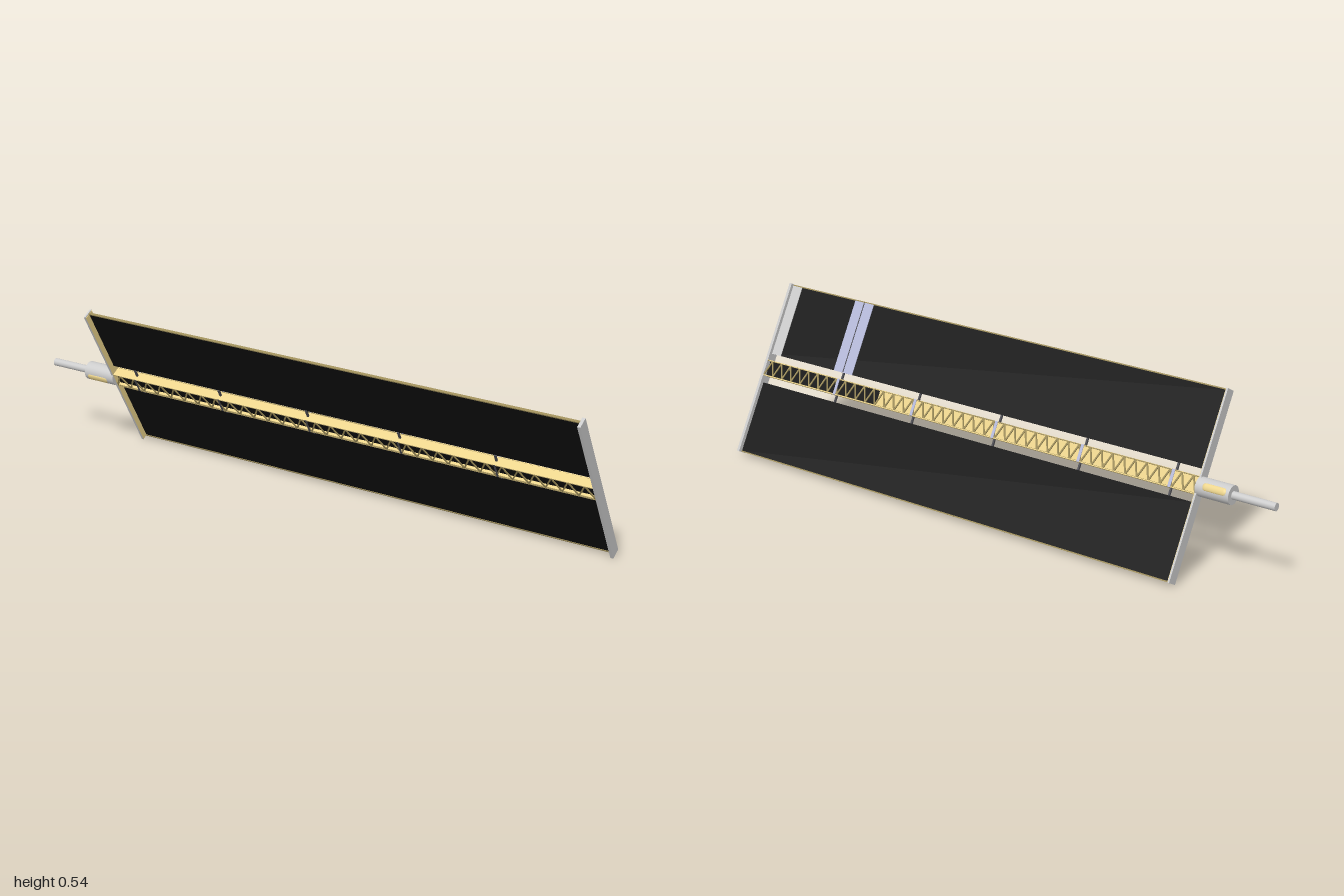
import * as THREE from 'three';
import { mergeGeometries } from 'three/addons/utils/BufferGeometryUtils.js';

const mat = (color) => new THREE.MeshStandardMaterial({ color });
const grey = mat(0xcccccc);
const black = mat(0x0e0e0e);
const gold = mat(0xecd48c);
const olive = mat(0x9c8c58);
const lilac = mat(0xb4b8d8);
const dark = mat(0x4a4a50);

const X0 = -0.74, X1 = 0.99; // ends of the array
const LEN = X1 - X0, MID = (X0 + X1) / 2;
const TILT = Math.atan2(0.287, 0.522);
const MAST_H = 0.055, MAST_D = 0.035;

export function createModel() {
  const model = new THREE.Group();
  model.name = 'solarArray';
  const wing = new THREE.Group();
  wing.name = 'tiltedWing';
  wing.position.y = 0.27;
  wing.rotation.x = TILT;
  model.add(wing);

  const add = (name, geometry, material, x = 0, y = 0, z = 0) => {
    const mesh = new THREE.Mesh(geometry, material);
    mesh.name = name;
    mesh.position.set(x, y, z);
    wing.add(mesh);
    return mesh;
  };
  const box = (name, w, h, d, material, x, y, z) =>
    add(name, new THREE.BoxGeometry(w, h, d), material, x, y, z);

  // Two cell blankets with thin gold outer edges
  for (const s of [1, -1]) {
    box('cellBlanket', LEN, 0.242, 0.004, black, MID, s * 0.172, -0.003);
    box('blanketEdge', LEN, 0.004, 0.008, olive, MID, s * 0.295, -0.003);
  }

  // Pale strips on the back of the upper blanket
  box('lilacStrip', 0.08, 0.243, 0.002, lilac, 0.67, 0.172, -0.0062);
  box('stripSeam', 0.003, 0.243, 0.001, dark, 0.67, 0.172, -0.0075);
  box('endStrip', 0.04, 0.243, 0.002, grey, 0.97, 0.172, -0.0062);

  // End plates; the inboard one has a gold inner face
  box('inboardEndPlate', 0.006, 0.596, 0.037, grey, X0 - 0.003, 0, 0);
  box('inboardPlateLining', 0.002, 0.59, 0.034, gold, X0 + 0.001, 0, 0);
  box('outboardEndPlate', 0.01, 0.596, 0.037, grey, 0.995, 0, 0);

  // Mast: solid upper and lower faces around a core
  for (const s of [1, -1])
    box('mastPlate', LEN, 0.003, MAST_D, gold, MID, s * (MAST_H / 2 - 0.0015), 0);
  box('mastCoreFront', LEN, MAST_H - 0.006, 0.002, black, MID, 0, 0.002);
  box('mastCoreBack', 1.24, MAST_H - 0.006, 0.002, gold, X0 + 0.62, 0, -0.002);
  box('mastCoreBackEnd', LEN - 1.24, MAST_H - 0.006, 0.002, black, X1 - (LEN - 1.24) / 2, 0, -0.002);

  // Zigzag lattice on the open faces of the mast
  const lattice = (bays) => {
    const half = LEN / bays / 2, h = MAST_H - 0.005;
    const bars = [];
    for (let i = 0; i < bays * 2; i++) {
      const bar = new THREE.BoxGeometry(0.005, Math.hypot(half, h), 0.003);
      bar.rotateZ((i % 2 ? 1 : -1) * Math.atan2(half, h));
      bar.translate(X0 + (i + 0.5) * half, 0, 0);
      bars.push(bar);
    }
    return mergeGeometries(bars);
  };
  add('frontLattice', lattice(32), olive, 0, 0, MAST_D / 2 - 0.002);
  add('backLattice', lattice(42), olive, 0, 0, -MAST_D / 2 + 0.002);
  for (const sy of [1, -1])
    for (const sz of [1, -1])
      box('mastRail', LEN, 0.004, 0.004, olive, MID, sy * (MAST_H / 2 - 0.002), sz * (MAST_D / 2 - 0.002));

  // Spreaders crossing the gaps between mast and blankets
  for (let i = 0; i < 5; i++) {
    const x = -0.65 + i * 0.33;
    for (const s of [1, -1]) box('spreader', 0.006, 0.026, 0.006, dark, x, s * 0.04, 0);
    box('spreaderFrame', 0.01, MAST_H, 0.002, lilac, x, 0, -MAST_D / 2);
    box('spreaderFrame', 0.006, MAST_H, 0.002, dark, x, 0, MAST_D / 2);
  }

  // Rotary joint housing and boom
  const rod = (name, r, x0, x1) => {
    const g = new THREE.CylinderGeometry(r, r, x1 - x0, 32);
    g.rotateZ(Math.PI / 2);
    return add(name, g, grey, (x0 + x1) / 2, 0, 0);
  };
  rod('jointHousing', 0.03, -0.855, X0);
  rod('boom', 0.0125, -1, -0.85);

  // Rounded gold covers on both sides of the housing
  for (const s of [1, -1]) {
    const g = new THREE.CapsuleGeometry(0.012, 0.06, 6, 16);
    g.rotateZ(Math.PI / 2);
    g.scale(1, 1, 0.5);
    add('housingCover', g, gold, -0.805, 0, s * 0.0265);
  }
  return model;
}
